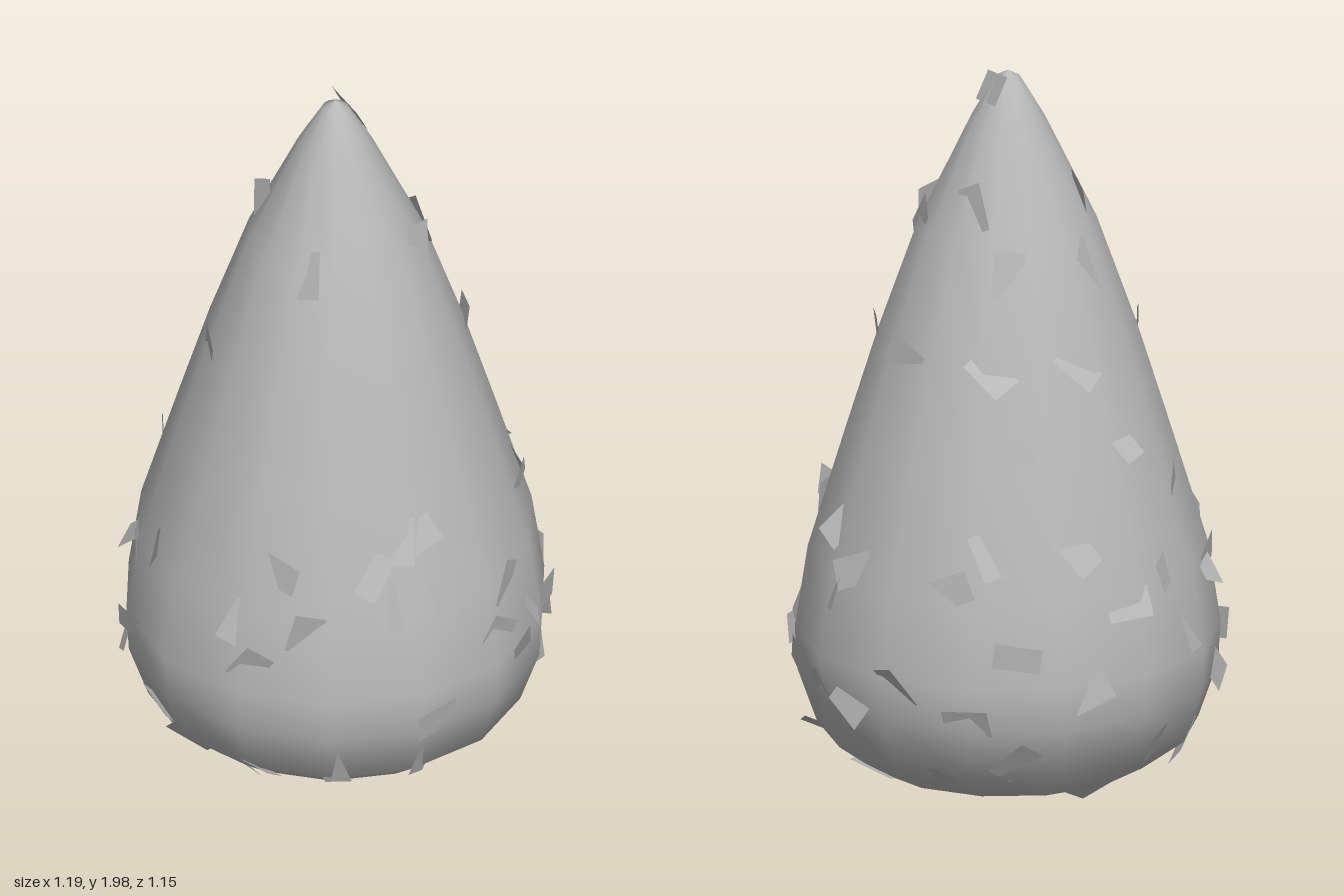
import * as THREE from 'three';

// Body outline, bottom to top: [radius, height]
const PROFILE = [
  [0.395, 0.06], [0.515, 0.15], [0.568, 0.3], [0.575, 0.42], [0.54, 0.65],
  [0.44, 0.98], [0.35, 1.27], [0.24, 1.58], [0.1, 1.87], [0.035, 1.98], [0, 2],
];
const SIDES = 14;
const CENTRE = new THREE.Vector3(0.005, 0, 0.025);

// Flakes: height, then the angles (degrees from the front towards +x) at that height
const FLAKES = [
  [0.08, [-58, 60, 118, -48, 210]],
  [0.14, [-35, -64, 155, 92, 250]],
  [0.2, [-13, 16, 82, 180, -75, 228]],
  [0.32, [18, 112, 166, 128, 90, 262]],
  [0.4, [52, 80, -85, 200, 145]],
  [0.5, [-36, 42, 61, 88, 180, 240]],
  [0.62, [-20, -40, 48, 117, -95, 215, 260]],
  [0.68, [8, 125, -80, 160, 20, 232]],
  [0.78, [0, -30, 75, 113, 172, 90, 200]],
  [0.86, [16, 10, 250]],
  [1.04, [178, 225]],
  [1.25, [-88, 90, 125, 170, 210]],
  [1.5, [178, 235]],
  [1.58, [-30, 92, 60]],
  [1.66, [150, 255]],
  [1.955, [115]],
];

// Small seeded random generator, -1 to 1
function makeRandom(seed) {
  return () => {
    seed = (seed * 16807) % 2147483647;
    return (seed / 2147483647) * 2 - 1;
  };
}

// Radius and upward tilt of the outline at a height
function outlineAt(y) {
  let i = 0;
  while (i < PROFILE.length - 2 && PROFILE[i + 1][1] < y) i++;
  const [r0, y0] = PROFILE[i];
  const [r1, y1] = PROFILE[i + 1];
  return { r: r0 + ((r1 - r0) * (y - y0)) / (y1 - y0), tilt: Math.atan2(r0 - r1, y1 - y0) };
}

export function createModel() {
  const model = new THREE.Group();
  const grey = new THREE.MeshStandardMaterial({ color: 0xb8b8b8, side: THREE.DoubleSide });
  grey.name = 'plain grey';

  // Teardrop cone
  const points = PROFILE.map(([r, y]) => new THREE.Vector2(r, y));
  const body = new THREE.Mesh(new THREE.LatheGeometry(points, SIDES, Math.PI / SIDES), grey);
  body.name = 'coneBody';
  body.position.copy(CENTRE);
  model.add(body);

  // Flat underside
  const base = new THREE.Mesh(new THREE.CircleGeometry(PROFILE[0][0], SIDES), grey);
  base.name = 'base';
  base.rotation.x = Math.PI / 2;
  base.position.set(CENTRE.x, PROFILE[0][1], CENTRE.z);
  model.add(base);

  // Thin flakes, half sunk into the surface at uneven tilts
  const flakes = new THREE.Group();
  flakes.name = 'flakes';
  const random = makeRandom(4217);
  const sheet = new THREE.PlaneGeometry(0.13, 0.085);
  for (const [y, angles] of FLAKES) {
    const { r, tilt } = outlineAt(y);
    for (const degrees of angles) {
      const a = THREE.MathUtils.degToRad(degrees);
      const flake = new THREE.Mesh(sheet, grey);
      flake.name = 'flake';
      flake.rotation.order = 'YXZ';
      flake.rotation.set(-tilt, a, 0);
      flake.position.set(Math.sin(a) * r * 0.985, y, Math.cos(a) * r * 0.985).add(CENTRE);
      flake.rotateZ(random() * Math.PI);
      flake.rotateX(random() * 0.45);
      flake.rotateY(random() * 0.45);
      flakes.add(flake);
    }
  }
  model.add(flakes);
  return model;
}
